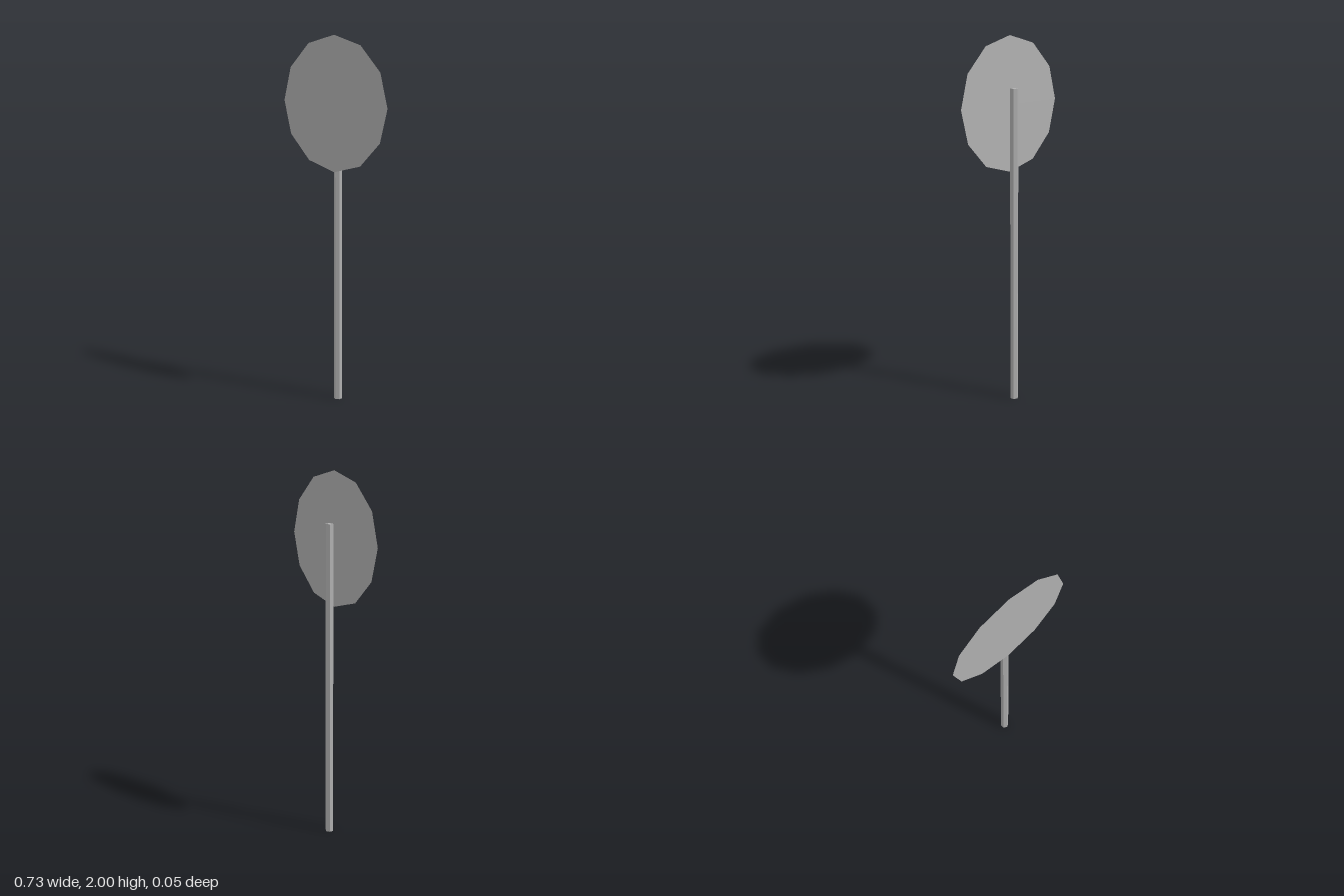
import * as THREE from 'three';

export function createModel() {
  const group = new THREE.Group();
  const grey = new THREE.MeshStandardMaterial({ color: 0xb0b0b0, flatShading: true, side: THREE.DoubleSide });
  grey.name = 'grey';

  // Six-sided post, standing just behind the plate
  const postHeight = 1.723;
  const post = new THREE.Mesh(new THREE.CylinderGeometry(0.0225, 0.0225, postHeight, 6), grey);
  post.name = 'post';
  post.position.set(0, postHeight / 2, -0.0045);
  group.add(post);

  // Paper-thin twelve-sided sign plate
  const radius = 0.363;
  const plate = new THREE.Mesh(new THREE.CircleGeometry(radius, 12), grey);
  plate.name = 'signPlate';
  plate.position.set(0, 2 - radius, 0.027);
  group.add(plate);

  return group;
}
